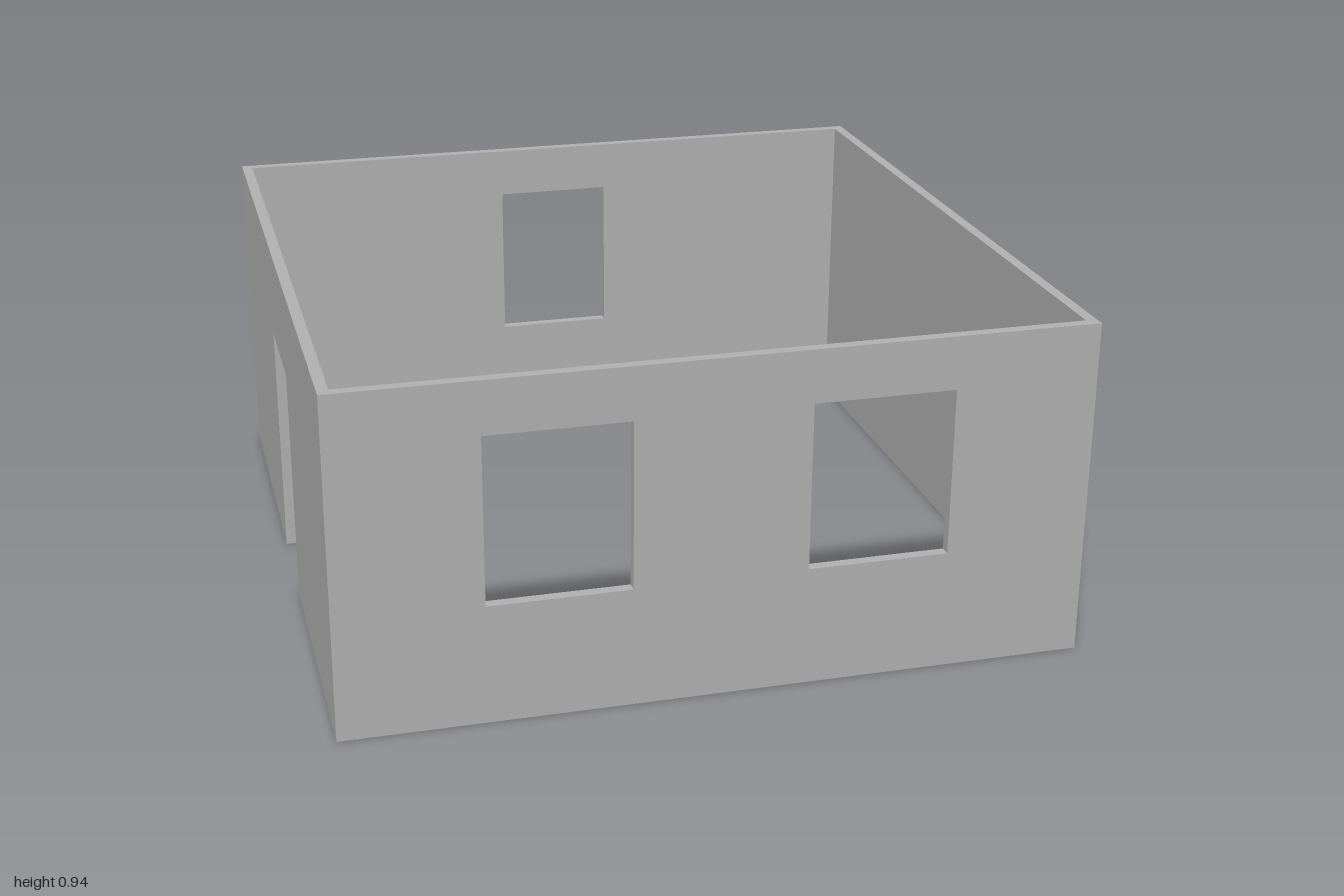
import * as THREE from 'three';

const HEIGHT = 0.935, THICK = 0.03, HALF = 1;
const SILL = 0.33, HEAD = 0.79; // window bottom and top
const DOOR_HALF = 0.17, DOOR_TOP = 0.67;

const wallGrey = new THREE.MeshStandardMaterial({ color: 0xb2b2b2 });
wallGrey.name = 'wall grey';

// Wall outline centred on x = 0, with an optional doorway cut up from the floor
function wallShape(half, hasDoor = false) {
  const shape = new THREE.Shape();
  shape.moveTo(-half, 0);
  if (hasDoor) {
    shape.lineTo(-DOOR_HALF, 0);
    shape.lineTo(-DOOR_HALF, DOOR_TOP);
    shape.lineTo(DOOR_HALF, DOOR_TOP);
    shape.lineTo(DOOR_HALF, 0);
  }
  shape.lineTo(half, 0);
  shape.lineTo(half, HEIGHT);
  shape.lineTo(-half, HEIGHT);
  shape.closePath();
  return shape;
}

function addWindow(shape, left, right) {
  const hole = new THREE.Path();
  hole.moveTo(left, SILL);
  hole.lineTo(left, HEAD);
  hole.lineTo(right, HEAD);
  hole.lineTo(right, SILL);
  hole.closePath();
  shape.holes.push(hole);
}

// Extrudes a wall so its outer face lies HALF from the centre, then turns it about y
function makeWall(name, shape, angle) {
  const geometry = new THREE.ExtrudeGeometry(shape, { depth: THICK, bevelEnabled: false });
  geometry.translate(0, 0, HALF - THICK);
  const wall = new THREE.Mesh(geometry, wallGrey);
  wall.name = name;
  wall.rotation.y = angle;
  return wall;
}

export function createModel() {
  const group = new THREE.Group();
  group.name = 'roomWalls';

  // Front wall with two windows
  const front = wallShape(HALF);
  addWindow(front, -0.613, -0.233);
  addWindow(front, 0.233, 0.613);
  group.add(makeWall('frontWall', front, 0));

  // Back wall with one central window
  const back = wallShape(HALF);
  addWindow(back, -0.17, 0.17);
  group.add(makeWall('backWall', back, Math.PI));

  // Side walls fit between front and back: plain at +x, doorway at -x
  const sideHalf = HALF - THICK;
  group.add(makeWall('plainSideWall', wallShape(sideHalf), Math.PI / 2));
  group.add(makeWall('doorwaySideWall', wallShape(sideHalf, true), -Math.PI / 2));

  return group;
}
